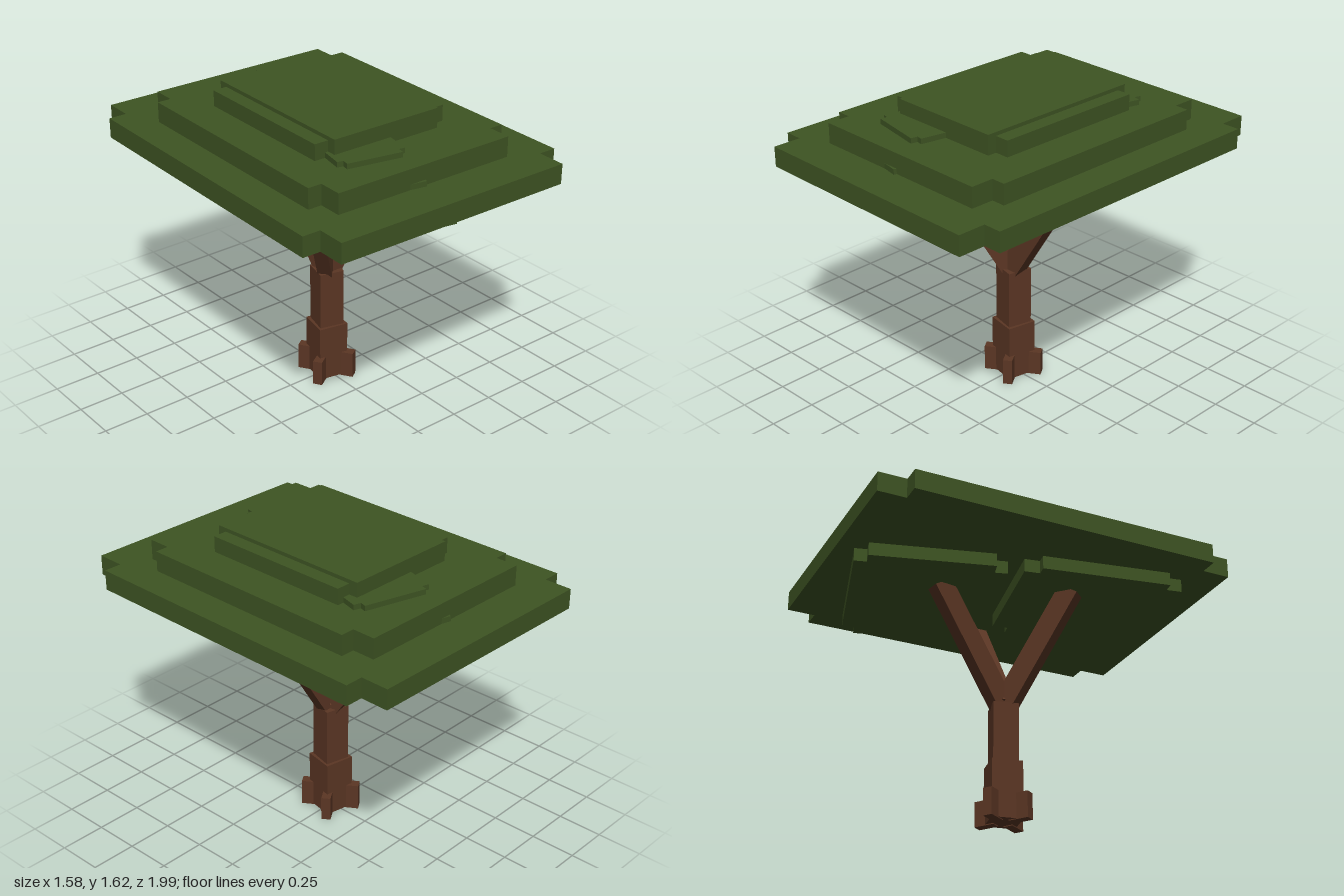
import * as THREE from 'three';

export function createModel() {
  const tree = new THREE.Group();
  tree.name = 'tree';
  const leaf = new THREE.MeshStandardMaterial({ color: 0x3e5423 });
  leaf.name = 'leaf green';
  const bark = new THREE.MeshStandardMaterial({ color: 0x5b3624 });
  bark.name = 'bark brown';

  function add(parent, name, geometry, material, x = 0, y = 0, z = 0) {
    const mesh = new THREE.Mesh(geometry, material);
    mesh.name = name;
    mesh.position.set(x, y, z);
    parent.add(mesh);
    return mesh;
  }

  // Flat plate with square notches in its corners: a long bar crossed by a wide one
  function notchedPlate(longW, longD, wideW, wideD, height) {
    const a = longW / 2, b = longD / 2, c = wideW / 2, d = wideD / 2;
    const outline = [[a, -b], [a, -d], [c, -d], [c, d], [a, d], [a, b],
      [-a, b], [-a, d], [-c, d], [-c, -d], [-a, -d], [-a, -b]];
    const shape = new THREE.Shape(outline.map(([x, y]) => new THREE.Vector2(x, y)));
    return new THREE.ExtrudeGeometry(shape, { depth: height, bevelEnabled: false }).rotateX(-Math.PI / 2);
  }

  // Stack of plates; each layer is [longW, longD, wideW, wideD, bottom, top]
  function foliage(name, x, z, turn, layers) {
    const group = new THREE.Group();
    group.name = name;
    group.position.set(x, 0, z);
    group.rotation.y = -turn;
    layers.forEach(([lw, ld, ww, wd, y0, y1], i) =>
      add(group, `${name}Layer${i + 1}`, notchedPlate(lw, ld, ww, wd, y1 - y0), leaf, 0, y0, 0));
    tree.add(group);
    return group;
  }

  // Main canopy with its raised cap
  const canopy = foliage('canopy', 0, 0, 0.0185, [
    [1.35, 1.97, 1.545, 1.665, 1.3, 1.407],
    [1.04, 1.525, 1.19, 1.275, 1.407, 1.515],
    [0.635, 0.945, 0.79, 0.845, 1.515, 1.6],
  ]);
  add(canopy, 'canopyCap', new THREE.BoxGeometry(0.635, 0.02, 0.945), leaf, 0, 1.61, 0);

  // Two smaller clumps that run through the canopy
  foliage('backClump', 0.145, -0.41, 0.288, [
    [0.745, 0.79, 0.885, 0.655, 1.228, 1.335],
    [0.47, 0.625, 0.56, 0.53, 1.335, 1.435],
    [0.34, 0.39, 0.42, 0.32, 1.435, 1.543],
  ]);
  foliage('frontClump', -0.158, 0.411, 0.2, [
    [0.64, 0.857, 0.75, 0.69, 1.228, 1.335],
    [0.41, 0.666, 0.51, 0.54, 1.335, 1.435],
    [0.295, 0.405, 0.36, 0.33, 1.435, 1.543],
  ]);

  // Trunk in two thicknesses
  add(tree, 'upperTrunk', new THREE.BoxGeometry(0.134, 0.435, 0.134), bark, 0, 0.4175, 0).rotation.y = -0.25;
  add(tree, 'lowerTrunk', new THREE.BoxGeometry(0.163, 0.31, 0.163), bark, 0, 0.16, 0).rotation.y = -0.2;

  // Roots at the trunk corners
  [0.145, 0.14, 0.145, 0.135].forEach((top, i) => {
    const root = new THREE.Group();
    root.name = `root${i + 1}`;
    root.rotation.y = -(1.0 + i * Math.PI / 2);
    add(root, 'rootBlock', new THREE.BoxGeometry(0.11, top, 0.05), bark, 0.1, top / 2, 0);
    tree.add(root);
  });

  // Three branches leaning outwards
  [[0, 0.38, 0.01], [139, 0.38, 0], [262, 0.4, 0]].forEach(([degrees, reach, z], i) => {
    const branch = new THREE.Group();
    branch.name = `branch${i + 1}`;
    branch.position.z = z;
    branch.rotation.y = -THREE.MathUtils.degToRad(degrees);
    const rise = 0.61;
    const beam = add(branch, 'branchBeam',
      new THREE.BoxGeometry(0.114, Math.hypot(reach, rise), 0.075), bark, reach / 2, 0.628 + rise / 2, 0);
    beam.rotation.z = -Math.atan2(reach, rise);
    tree.add(branch);
  });

  return tree;
}
